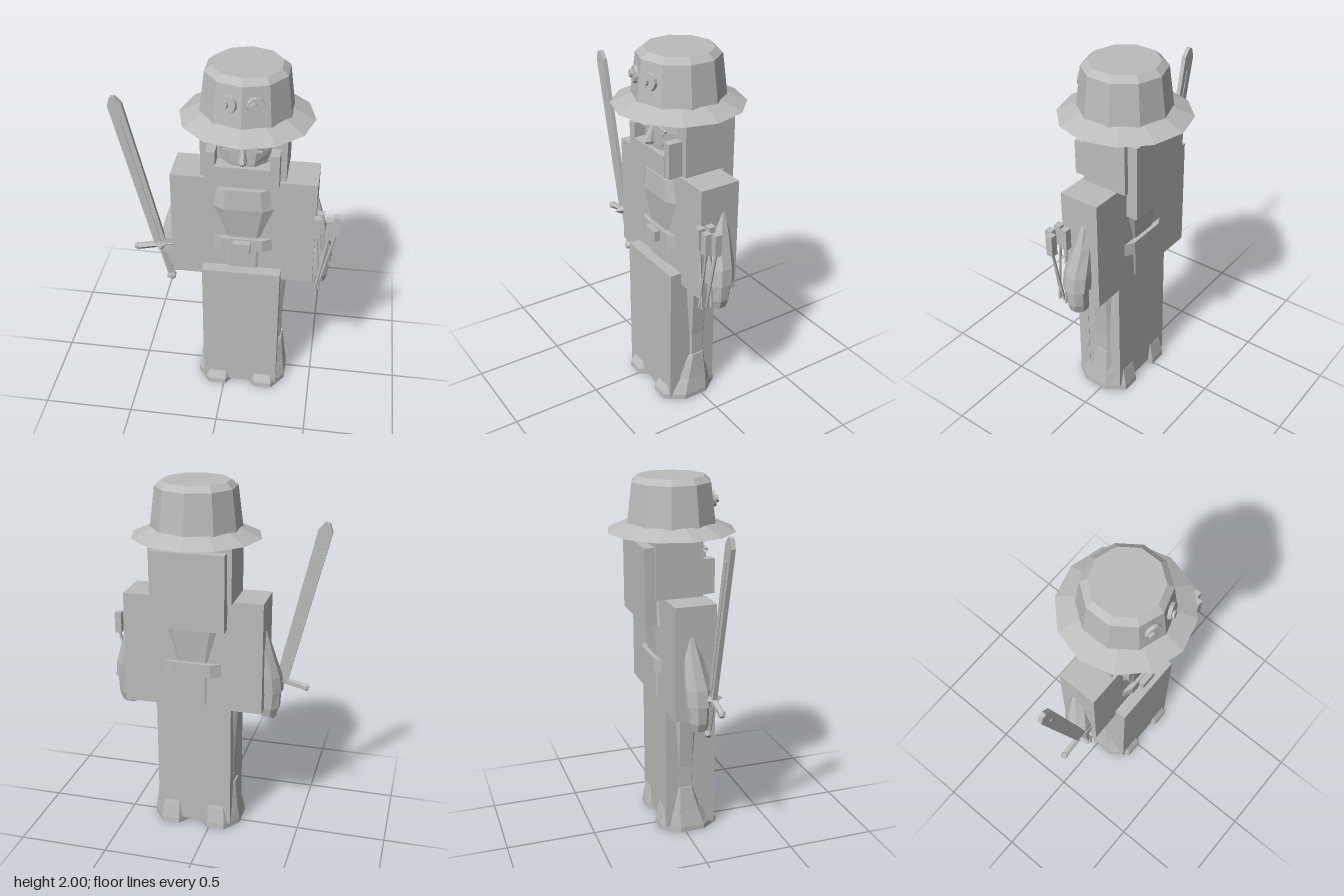
import * as THREE from 'three';

export function createModel() {
  const model = new THREE.Group();
  const stone = new THREE.MeshStandardMaterial({ color: 0xbcbcbc, flatShading: true });
  stone.name = 'plain grey';
  const CX = 0.095; // the body's own middle

  function add(name, geometry, parent = model) {
    const mesh = new THREE.Mesh(geometry, stone);
    mesh.name = name;
    parent.add(mesh);
    return mesh;
  }
  // box from its minimum and maximum corners
  function box(name, x0, x1, y0, y1, z0, z1, parent) {
    const m = add(name, new THREE.BoxGeometry(x1 - x0, y1 - y0, z1 - z0), parent);
    m.position.set((x0 + x1) / 2, (y0 + y1) / 2, (z0 + z1) / 2);
    return m;
  }
  // eight-sided loft through rings [x, y, z, half width, half depth], bottom to top
  function loft(name, rings, parent) {
    const n = 8, pos = [], index = [], k = 1 / Math.cos(Math.PI / n);
    for (const [x, y, z, rx, rz] of rings)
      for (let i = 0; i < n; i++) {
        const a = ((i + 0.5) / n) * Math.PI * 2;
        pos.push(x + Math.sin(a) * rx * k, y, z + Math.cos(a) * rz * k);
      }
    for (let r = 0; r < rings.length - 1; r++)
      for (let i = 0; i < n; i++) {
        const a = r * n + i, b = r * n + ((i + 1) % n);
        index.push(a, b, b + n, a, b + n, a + n);
      }
    const top = (rings.length - 1) * n;
    for (let i = 1; i < n - 1; i++) index.push(0, i + 1, i, top, top + i, top + i + 1);
    const g = new THREE.BufferGeometry();
    g.setAttribute('position', new THREE.Float32BufferAttribute(pos, 3));
    g.setIndex(index);
    g.computeVertexNormals();
    return add(name, g, parent);
  }
  // thin rod between two points
  function rod(name, a, b, r, parent) {
    const p = new THREE.Vector3(...a), q = new THREE.Vector3(...b);
    const m = add(name, new THREE.CylinderGeometry(r, r, p.distanceTo(q), 5), parent);
    m.position.copy(p).add(q).multiplyScalar(0.5);
    m.quaternion.setFromUnitVectors(new THREE.Vector3(0, 1, 0), q.sub(p).normalize());
    return m;
  }

  // hat: wide sloping brim and a ten-sided crown with a bevelled top
  const hat = new THREE.Group();
  hat.name = 'hat';
  hat.position.x = CX;
  model.add(hat);
  add('brim', new THREE.CylinderGeometry(0.24, 0.35, 0.05, 12), hat).position.y = 1.735;
  add('crown', new THREE.CylinderGeometry(0.218, 0.245, 0.215, 10), hat).position.y = 1.8625;
  add('crownTop', new THREE.CylinderGeometry(0.183, 0.218, 0.03, 10), hat).position.y = 1.985;
  for (const s of [-1, 1]) {
    const button = new THREE.Group();
    button.name = 'hatButton';
    button.position.set(s * 0.067, 1.875, 0.214);
    button.rotation.set(-0.11, s * Math.PI / 10, 0, 'YXZ');
    hat.add(button);
    const disc = add('buttonDisc', new THREE.CylinderGeometry(0.043, 0.047, 0.025, 12), button);
    const stud = add('buttonStud', new THREE.CylinderGeometry(0.02, 0.022, 0.015, 10), button);
    disc.rotation.x = stud.rotation.x = Math.PI / 2;
    stud.position.set(-0.015, 0, 0.018);
  }

  // head, hair and face
  box('headBlock', -0.135, 0.315, 1.39, 1.7, -0.16, 0.1);
  box('backHair', -0.11, 0.29, 1.25, 1.665, -0.215, -0.15);
  box('chinGuard', -0.063, 0.24, 1.385, 1.5, 0.09, 0.183);
  loft('face', [[CX, 1.42, 0.02, 0.13, 0.13], [CX, 1.52, 0.02, 0.145, 0.14],
    [CX, 1.6, 0.02, 0.17, 0.14], [CX, 1.71, 0.02, 0.165, 0.135]]);
  loft('nose', [[CX, 1.52, 0.165, 0.018, 0.03], [CX, 1.535, 0.17, 0.021, 0.038],
    [CX, 1.61, 0.155, 0.01, 0.014]]);
  for (const s of [-1, 1]) {
    const x = CX + s * 0.165;
    box('sideLock', x - 0.024, x + 0.024, 1.39, 1.58, 0.09, 0.18);
    const brow = box('brow', CX + s * 0.085 - 0.04, CX + s * 0.085 + 0.04, 1.615, 1.627, 0.15, 0.165);
    brow.rotation.z = -s * 0.12;
    box('eye', CX + s * 0.08 - 0.022, CX + s * 0.08 + 0.022, 1.585, 1.597, 0.155, 0.163);
  }
  for (let i = 0; i < 5; i++) {
    const lock = add('fringeLock', new THREE.ConeGeometry(0.022, 0.07, 4));
    lock.position.set(CX - 0.11 + i * 0.055, 1.683, 0.155);
    lock.rotation.z = Math.PI + (i < 3 ? 0.3 : -0.3);
  }

  // torso: square jacket with the rounded body showing through, belt and buckle
  box('jacket', -0.295, 0.48, 0.76, 1.39, -0.11, 0.117);
  loft('body', [[CX, 0.78, 0.005, 0.17, 0.12], [CX, 1.04, 0.005, 0.18, 0.122],
    [CX, 1.22, 0.01, 0.25, 0.14], [CX, 1.34, 0.008, 0.22, 0.136]]);
  loft('belt', [[CX, 0.955, 0.003, 0.26, 0.142], [CX, 1.03, 0.003, 0.26, 0.142]]);
  box('buckle', 0.045, 0.14, 0.96, 1.02, 0.13, 0.178);

  // legs, apron and boots
  box('legBlock', -0.122, 0.304, 0.03, 0.77, -0.105, 0.117);
  box('apron', -0.122, 0.306, 0.02, 0.83, 0.115, 0.183);
  for (const s of [-1, 1]) {
    const x = CX + s * 0.13;
    loft('leg', [[x, 0.2, 0.01, 0.09, 0.08], [x, 0.4, 0.01, 0.088, 0.09],
      [x, 0.78, 0.01, 0.112, 0.1]]);
    loft('boot', [[CX + s * 0.135, 0, 0.04, 0.12, 0.17], [CX + s * 0.135, 0.03, 0.04, 0.12, 0.168],
      [CX + s * 0.132, 0.12, 0.025, 0.11, 0.135], [CX + s * 0.13, 0.27, 0.01, 0.097, 0.08]]);
    // arm with cuff and fist
    const arm = (dx, y, z, rx, rz) => [CX + s * dx, y, z, rx, rz];
    loft('arm', [arm(0.415, 0.86, 0.015, 0.065, 0.073), arm(0.405, 0.95, 0.01, 0.065, 0.073),
      arm(0.365, 1.12, -0.01, 0.055, 0.05), arm(0.345, 1.24, -0.02, 0.04, 0.02)]);
    loft('hand', [arm(0.4, 0.71, 0.015, 0.048, 0.045), arm(0.405, 0.76, 0.015, 0.06, 0.055),
      arm(0.415, 0.87, 0.015, 0.055, 0.06)]);
  }

  // bundle of arrows in the left hand
  for (const [x, z, bx] of [[0.505, 0.078, 0.53], [0.49, 0.13, 0.52], [0.555, 0.135, 0.5], [0.59, 0.1, 0.515]]) {
    box('fletching', x - 0.019, x + 0.019, 1.08, 1.2, z - 0.019, z + 0.019);
    rod('arrowShaft', [bx, 0.73, z], [x, 1.09, z], 0.008);
  }

  // sword in the right hand
  const sword = new THREE.Group();
  sword.name = 'sword';
  sword.position.set(-0.37, 0.9, 0.07);
  sword.rotation.z = 0.234;
  model.add(sword);
  const outline = new THREE.Shape([[-0.033, 0], [0.033, 0], [0.038, 0.88], [0.012, 0.925], [-0.012, 0.925],
    [-0.038, 0.88]].map(p => new THREE.Vector2(...p)));
  add('blade', new THREE.ExtrudeGeometry(outline, { depth: 0.024, bevelEnabled: false }), sword)
    .position.z = -0.012;
  box('bladeRidge', -0.008, 0.008, 0, 0.8, -0.016, 0.016, sword);
  rod('crossGuard', [-0.14, 0, 0], [0.14, 0, 0], 0.019, sword);
  rod('grip', [0, -0.21, 0], [0, 0, 0], 0.017, sword);
  for (const s of [-1, 1])
    add('guardKnob', new THREE.IcosahedronGeometry(0.023), sword).position.x = s * 0.138;
  add('pommel', new THREE.IcosahedronGeometry(0.03), sword).position.y = -0.222;
  const boss = add('guardBoss', new THREE.OctahedronGeometry(0.036), sword);
  boss.scale.z = 1.7;

  return model;
}
